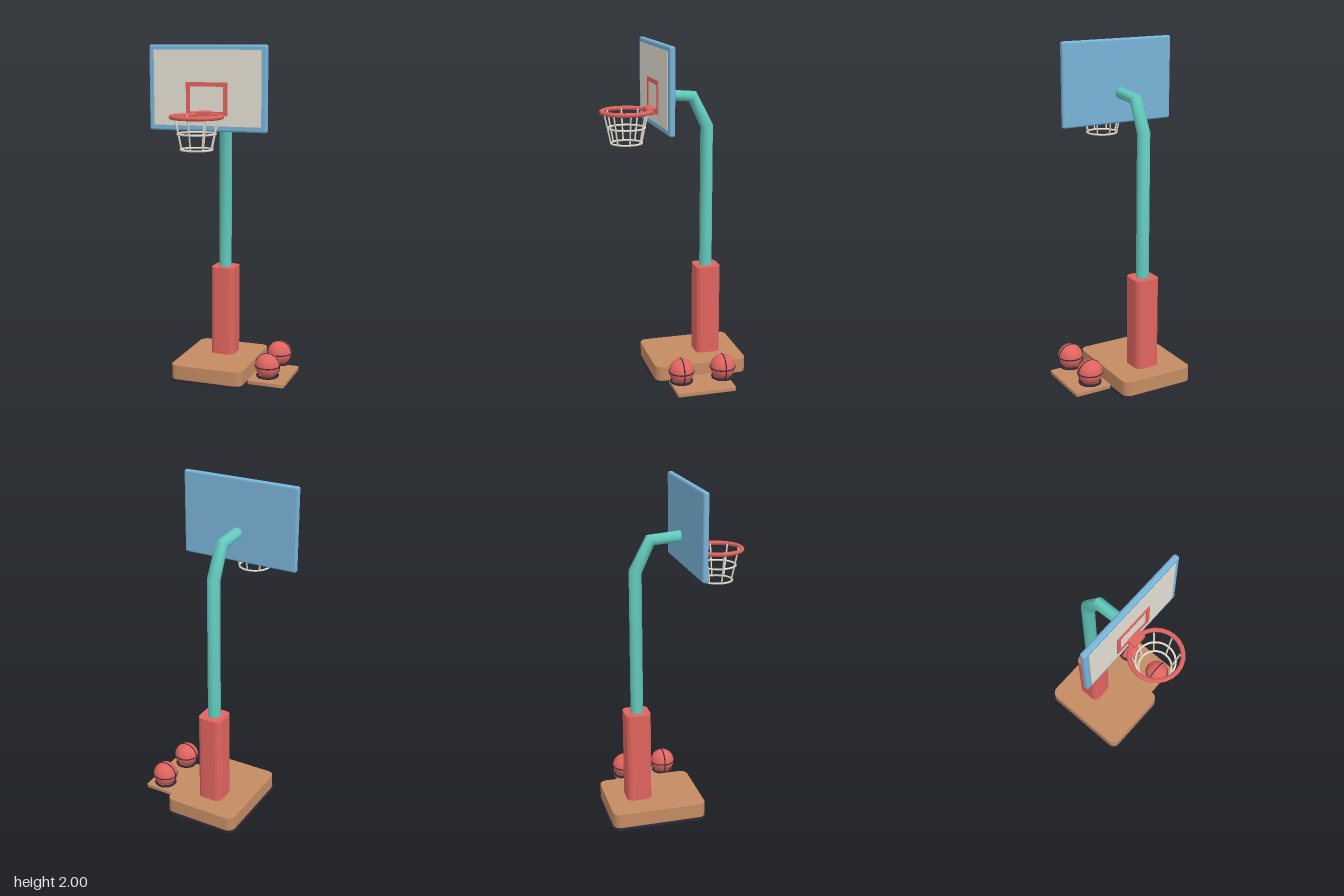
import * as THREE from 'three';
import { toCreasedNormals } from 'three/addons/utils/BufferGeometryUtils.js';
import { RoundedBoxGeometry } from 'three/addons/geometries/RoundedBoxGeometry.js';

const paint = (name, color) => {
  const m = new THREE.MeshStandardMaterial({ color });
  m.name = name;
  return m;
};

// Upright block with rounded vertical corners, standing on y = 0
function roundedSlab(w, d, h, r) {
  const x = w / 2, y = d / 2, s = new THREE.Shape();
  s.absarc(x - r, y - r, r, 0, Math.PI / 2);
  s.absarc(-x + r, y - r, r, Math.PI / 2, Math.PI);
  s.absarc(-x + r, -y + r, r, Math.PI, Math.PI * 1.5);
  s.absarc(x - r, -y + r, r, Math.PI * 1.5, Math.PI * 2);
  const g = new THREE.ExtrudeGeometry(s, { depth: h, bevelEnabled: false, curveSegments: 5 });
  g.rotateX(-Math.PI / 2);
  return toCreasedNormals(g, 0.7);
}

// Bent tapering pole: each ring of a cylinder is moved to a station [y, z, radius, tilt]
function bentPole(stations) {
  const n = stations.length - 1;
  const g = new THREE.CylinderGeometry(1, 1, n, 16, n);
  const p = g.attributes.position;
  for (let i = 0; i < p.count; i++) {
    const [y, z, r, tilt] = stations[Math.round(p.getY(i) + n / 2)];
    const px = p.getX(i) * r, pz = p.getZ(i) * r;
    p.setXYZ(i, px, y - pz * Math.sin(tilt), z + pz * Math.cos(tilt));
  }
  return toCreasedNormals(g, 0.9);
}

export function createModel() {
  const red = paint('coral red', 0xe0645f);
  const teal = paint('teal', 0x62c9bd);
  const brown = paint('wood brown', 0xc48b62);
  const blue = paint('sky blue', 0x78b4d8);
  const cream = paint('cream', 0xe4dfd2);
  const dark = paint('dark trim', 0x2e2a38);

  const model = new THREE.Group();
  const add = (name, geometry, material, x, y, z, parent = model) => {
    const mesh = new THREE.Mesh(geometry, material);
    mesh.name = name;
    mesh.position.set(x, y, z);
    parent.add(mesh);
    return mesh;
  };
  const ring = (r, tube, sides = 32) =>
    new THREE.TorusGeometry(r, tube, 8, sides).rotateX(Math.PI / 2);
  const cx = -0.055;

  // Base and post
  add('baseTrim', roundedSlab(0.465, 0.578, 0.014, 0.05), dark, cx, 0, -0.132);
  add('base', roundedSlab(0.45, 0.563, 0.086, 0.045), brown, cx, 0.014, -0.132);
  add('postPad', roundedSlab(0.15, 0.15, 0.55, 0.035), red, cx, 0.1, -0.22);
  add('pole', bentPole([
    [0.6, -0.218, 0.038, 0],
    [1.505, -0.218, 0.038, 0.22],
    [1.68, -0.13, 0.036, 0.95],
    [1.693, 0.043, 0.033, 1.63],
  ]), teal, cx, 0, 0);

  // Backboard with front panel and target frame
  add('backboard', new RoundedBoxGeometry(0.714, 0.49, 0.034, 3, 0.012), blue, cx, 1.755, 0.085);
  add('boardPanel', new THREE.BoxGeometry(0.65, 0.43, 0.005), cream, cx, 1.757, 0.102);
  const target = new THREE.Group();
  target.name = 'targetFrame';
  target.position.set(cx, 1.695, 0.107);
  model.add(target);
  for (const s of [-1, 1]) {
    add('targetSide', new THREE.BoxGeometry(0.024, 0.19, 0.008), red, s * 0.113, 0, 0, target);
    add('targetBar', new THREE.BoxGeometry(0.202, 0.024, 0.008), red, 0, s * 0.083, 0, target);
  }

  // Hoop
  add('rimBracket', new RoundedBoxGeometry(0.088, 0.044, 0.055, 2, 0.008), red, cx, 1.608, 0.128);
  add('rim', ring(0.142, 0.013, 24), red, cx, 1.606, 0.265);

  // Net: two hoops and eight leaning strands
  const net = new THREE.Group();
  net.name = 'net';
  net.position.set(cx, 0, 0.265);
  model.add(net);
  add('netRing', ring(0.108, 0.006, 24), cream, 0, 1.512, 0, net);
  add('netRing', ring(0.09, 0.006, 24), cream, 0, 1.424, 0, net);
  for (let i = 0; i < 8; i++) {
    const a = i * Math.PI / 4;
    const path = new THREE.LineCurve3(
      new THREE.Vector3(Math.cos(a) * 0.13, 1.606, Math.sin(a) * 0.13),
      new THREE.Vector3(Math.cos(a) * 0.09, 1.42, Math.sin(a) * 0.09));
    add('netStrand', new THREE.TubeGeometry(path, 1, 0.005, 6), cream, 0, 0, 0, net);
  }

  // Ball tray with two balls on holder rings
  add('ballTray', roundedSlab(0.225, 0.352, 0.02, 0.012), brown, 0.299, 0.014, -0.095);
  for (const z of [-0.221, 0.031]) {
    const ball = new THREE.Group();
    ball.name = 'ball';
    ball.position.set(0.299, 0.126, z);
    model.add(ball);
    add('ballSkin', new THREE.SphereGeometry(0.074, 28, 18), red, 0, 0, 0, ball);
    add('ballSeam', ring(0.073, 0.004), dark, 0, 0, 0, ball);
    add('ballSeam', new THREE.TorusGeometry(0.073, 0.004, 8, 32), dark, 0, 0, 0, ball);
    add('ballHolder', ring(0.06, 0.008), dark, 0, -0.06, 0, ball);
  }
  return model;
}
